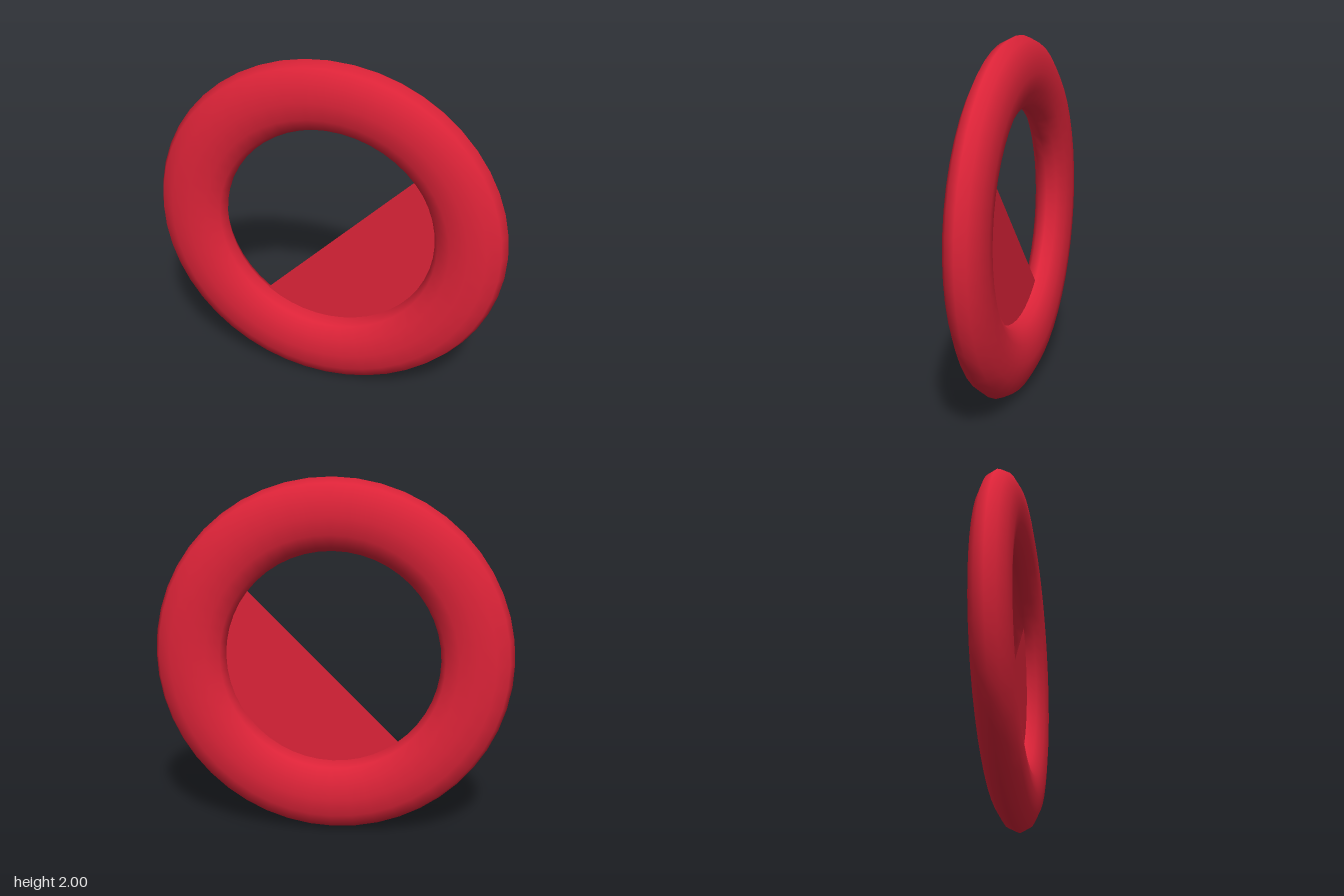
import * as THREE from 'three';

export function createModel() {
  const model = new THREE.Group();
  const red = new THREE.MeshStandardMaterial({ color: 0xdc2338 });

  // Ring: a torus flattened front to back
  const ringGeometry = new THREE.TorusGeometry(0.8, 0.2, 12, 48);
  ringGeometry.scale(1, 1, 0.11 / 0.2);
  const ring = new THREE.Mesh(ringGeometry, red);
  ring.name = 'ring';

  // Thin panel: circular segment below a 45 degree chord, its rim tucked into the ring
  const radius = 0.62;
  const chordOffset = 0.074;
  const halfAngle = Math.acos(chordOffset / radius);
  const middle = -Math.PI / 4;
  const segment = new THREE.Shape();
  segment.absarc(0, 0, radius, middle - halfAngle, middle + halfAngle, false);
  segment.closePath();
  const panelMaterial = red.clone();
  panelMaterial.side = THREE.DoubleSide;
  const panel = new THREE.Mesh(new THREE.ShapeGeometry(segment, 32), panelMaterial);
  panel.name = 'segmentPanel';

  for (const part of [ring, panel]) {
    part.position.y = 1;
    model.add(part);
  }
  return model;
}
